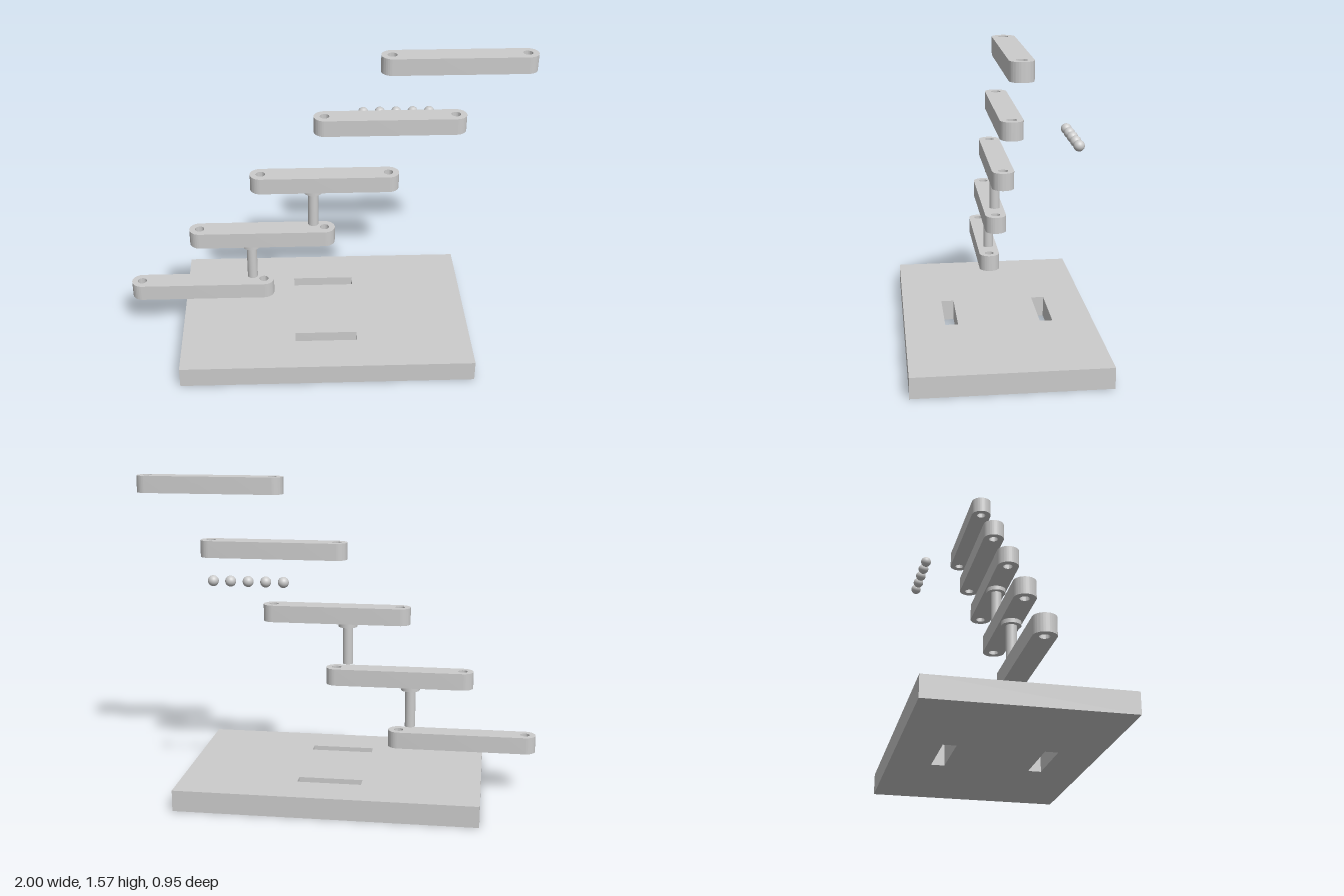
import * as THREE from 'three';
import { toCreasedNormals } from 'three/addons/utils/BufferGeometryUtils.js';

const material = new THREE.MeshStandardMaterial({ color: 0xcccccc });

function addMesh(parent, name, geometry, x = 0, y = 0, z = 0) {
  const mesh = new THREE.Mesh(geometry, material);
  mesh.name = name;
  mesh.position.set(x, y, z);
  parent.add(mesh);
  return mesh;
}

// Extrudes a plan-view shape upward from y = 0
function extrudeUp(shape, height) {
  const geometry = new THREE.ExtrudeGeometry(shape, { depth: height, bevelEnabled: false, curveSegments: 24 });
  geometry.rotateX(-Math.PI / 2);
  return toCreasedNormals(geometry, Math.PI / 6);
}

function rectangle(target, x, z, halfX, halfZ) {
  target.moveTo(x - halfX, z - halfZ);
  target.lineTo(x + halfX, z - halfZ);
  target.lineTo(x + halfX, z + halfZ);
  target.lineTo(x - halfX, z + halfZ);
  target.closePath();
  return target;
}

// Base plate with two through slots
function basePlateGeometry() {
  const shape = rectangle(new THREE.Shape(), 0, 0, 0.737, 0.474);
  for (const side of [-1, 1]) {
    shape.holes.push(rectangle(new THREE.Path(), 0, side * 0.239, 0.158, 0.032));
  }
  return extrudeUp(shape, 0.105);
}

// Round-ended link bar with a pivot hole at each end
function linkGeometry() {
  const reach = 0.316, radius = 0.0525;
  const shape = new THREE.Shape();
  shape.absarc(reach, 0, radius, -Math.PI / 2, Math.PI / 2, false);
  shape.absarc(-reach, 0, radius, Math.PI / 2, Math.PI * 1.5, false);
  shape.closePath();
  for (const side of [-1, 1]) {
    shape.holes.push(new THREE.Path().absarc(side * reach, 0, 0.023, 0, Math.PI * 2, true));
  }
  return extrudeUp(shape, 0.084);
}

export function createModel() {
  const model = new THREE.Group();
  model.name = 'explodedLinkage';
  const step = 0.316;

  addMesh(model, 'basePlate', basePlateGeometry());

  // Five links climbing in equal steps
  const link = linkGeometry();
  for (let i = 0; i < 5; i++) {
    addMesh(model, `link${i + 1}`, link, (i - 2) * step, 0.224 + i * step, 0);
  }

  // Headed pivot pins below the second and third links
  const shaft = new THREE.CylinderGeometry(0.026, 0.026, 0.192, 32);
  const head = new THREE.CylinderGeometry(0.047, 0.047, 0.021, 32);
  for (let i = 0; i < 2; i++) {
    const pin = new THREE.Group();
    pin.name = `pivotPin${i + 1}`;
    pin.position.set(-0.373 + i * step, 0.33 + i * step, 0);
    addMesh(pin, 'pinShaft', shaft, 0, 0.096, 0);
    addMesh(pin, 'pinHead', head, 0, 0.2, 0);
    model.add(pin);
  }

  // Row of bearing balls behind the links
  const ball = new THREE.SphereGeometry(0.026, 24, 16);
  for (let i = 0; i < 5; i++) {
    addMesh(model, `bearingBall${i + 1}`, ball, 0.208 + i * 0.084, 1.11, -0.316);
  }

  return model;
}
